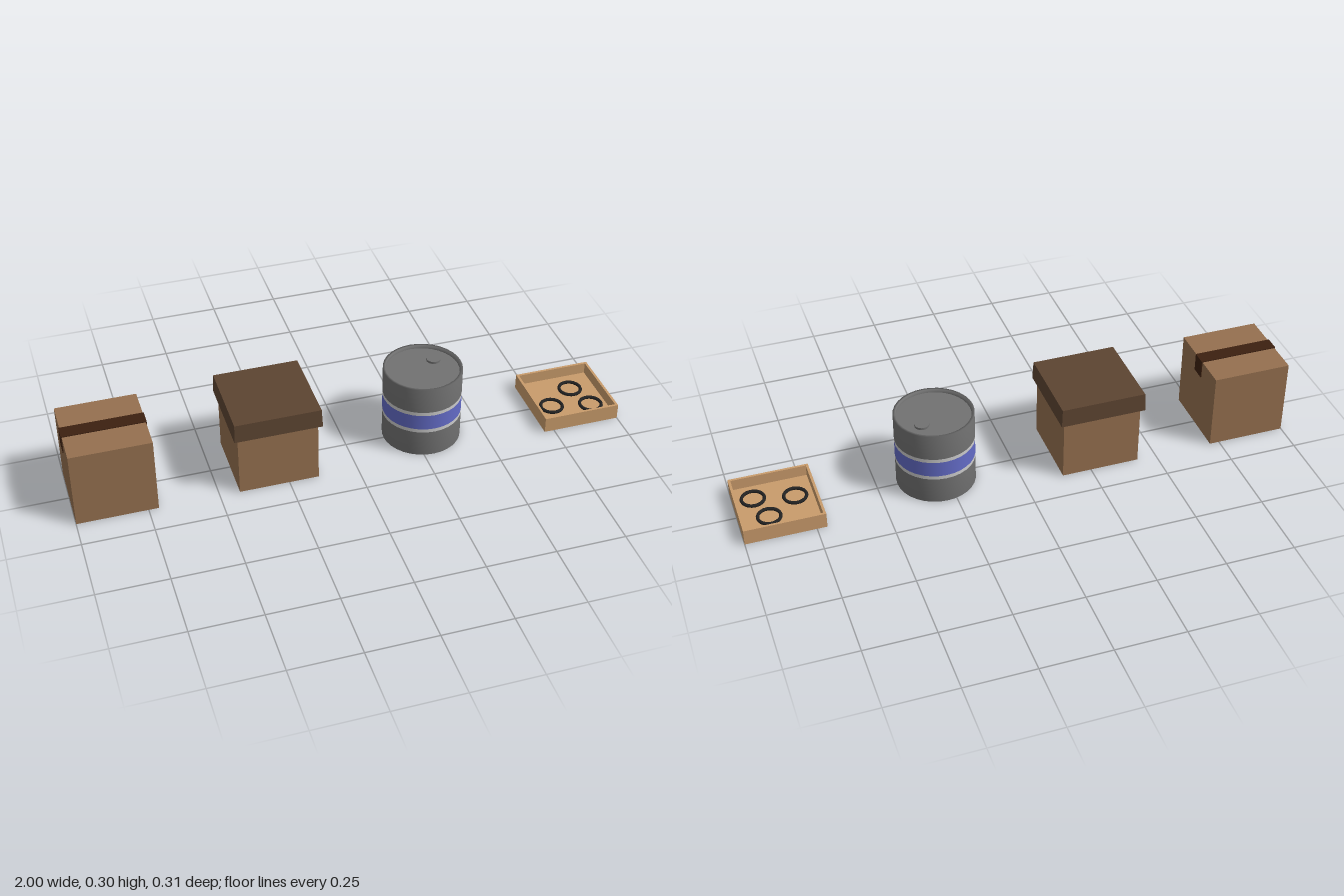
import * as THREE from 'three';

const mat = (name, color) => {
  const m = new THREE.MeshStandardMaterial({ color });
  m.name = name;
  return m;
};
const points = (list) => list.map(([x, y]) => new THREE.Vector2(x, y));

// Square shell: a profile of [half width, height] swept around four flat sides
function squareShell(profile) {
  const pts = points(profile.map(([h, y]) => [h * Math.SQRT2, y]));
  const g = new THREE.LatheGeometry(pts, 4, Math.PI / 4).toNonIndexed();
  g.computeVertexNormals();
  return g;
}

export function createModel() {
  const cardboard = mat('cardboard', 0x95704f);
  const lidBrown = mat('lid brown', 0x5c4431);
  const tapeBrown = mat('tape brown', 0x3c2010);
  const trayTan = mat('tray tan', 0xc99b6b);
  const steel = mat('drum grey', 0x727272);
  const blue = mat('band blue', 0x636bc6);
  const white = mat('band white', 0xcccccc);
  const black = mat('ring black', 0x222222);

  const root = new THREE.Group();
  root.name = 'storageContainers';
  const group = (name, x) => {
    const g = new THREE.Group();
    g.name = name;
    g.position.x = x;
    root.add(g);
    return g;
  };
  const add = (parent, name, geometry, material, x = 0, y = 0, z = 0) => {
    const m = new THREE.Mesh(geometry, material);
    m.name = name;
    m.position.set(x, y, z);
    parent.add(m);
    return m;
  };
  const size = 0.285;

  // Taped box: the tape runs over the top and down both ends
  const taped = group('tapedBox', -0.857);
  add(taped, 'boxBody', new THREE.BoxGeometry(size, size, size), cardboard, 0, size / 2);
  add(taped, 'tapeTop', new THREE.BoxGeometry(size + 0.006, 0.003, 0.053), tapeBrown, 0, size + 0.0015);
  for (const s of [-1, 1]) {
    add(taped, 'tapeEnd', new THREE.BoxGeometry(0.003, 0.065, 0.053), tapeBrown,
      s * (size / 2 + 0.0015), size - 0.0325);
  }

  // Lidded box with a loose, slightly flared lid
  const lidded = group('liddedBox', -0.286);
  add(lidded, 'boxBody', new THREE.BoxGeometry(size, size, size), cardboard, 0, size / 2);
  add(lidded, 'lid', squareShell([
    [0, 0.287], [0.148, 0.287], [0.151, 0.229], [0.156, 0.229], [0.153, 0.297], [0, 0.297],
  ]), lidBrown);

  // Steel drum: rims rolled into the wall, recessed ends, painted bands
  const drum = group('drum', 0.285);
  const sides = 32, r = 0.142;
  const ring = (name, profile, material) =>
    add(drum, name, new THREE.LatheGeometry(points(profile), sides), material);
  ring('lowerWall', [[0.131, 0.012], [0.133, 0], [r, 0], [r, 0.1]], steel);
  ring('lowerWhiteBand', [[r, 0.1], [r, 0.114]], white);
  ring('blueBand', [[r, 0.114], [r, 0.173]], blue);
  ring('upperWhiteBand', [[r, 0.173], [r, 0.187]], white);
  ring('upperWall', [[r, 0.187], [r, size], [0.133, size], [0.131, 0.273]], steel);
  const disc = new THREE.CircleGeometry(0.132, sides);
  add(drum, 'topEnd', disc, steel, 0, 0.273).rotation.x = -Math.PI / 2;
  add(drum, 'bottomEnd', disc, steel, 0, 0.012).rotation.x = Math.PI / 2;
  add(drum, 'bung', new THREE.CylinderGeometry(0.026, 0.026, 0.008, 20), steel, 0.056, 0.277, -0.045);

  // Shallow open tray holding three rings
  const tray = group('tray', 0.857);
  add(tray, 'trayBody', squareShell([
    [0, 0], [0.143, 0], [0.143, 0.058], [0.134, 0.058], [0.134, 0.016], [0, 0.016],
  ]), trayTan);
  const hoop = new THREE.TorusGeometry(0.04, 0.006, 8, 24).rotateX(Math.PI / 2);
  for (const [x, z] of [[-0.07, 0.03], [0.038, -0.05], [0.073, 0.06]]) {
    add(tray, 'looseRing', hoop, black, x, 0.021, z);
  }

  return root;
}
